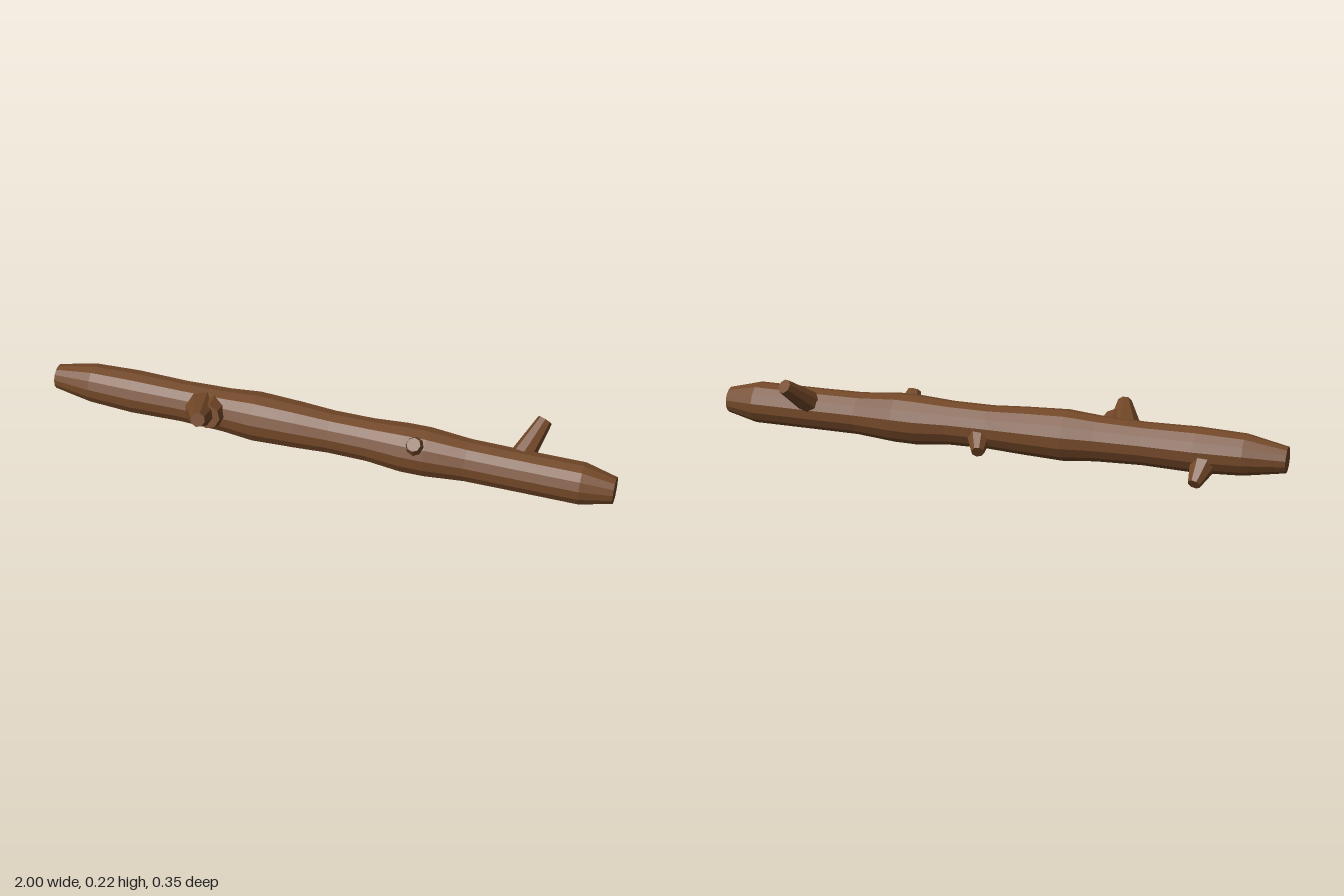
import * as THREE from 'three';

const bark = new THREE.MeshStandardMaterial({ color: 0x734828, flatShading: true });
const AXIS_Z = -0.018;

// Trunk stations: x, centre height, radius
const stations = [
  [-1, 0.106, 0.044], [-0.86, 0.107, 0.07], [-0.7, 0.104, 0.077], [-0.52, 0.103, 0.073],
  [-0.36, 0.101, 0.078], [-0.25, 0.099, 0.088], [-0.1, 0.097, 0.082], [0.02, 0.095, 0.075],
  [0.16, 0.093, 0.076], [0.28, 0.089, 0.086], [0.36, 0.089, 0.086], [0.5, 0.087, 0.074],
  [0.65, 0.085, 0.073], [0.89, 0.083, 0.073], [1, 0.08, 0.046],
];

// Lofts a fourteen-sided log through the stations, lying along x
function createTrunk() {
  const n = stations.length - 1;
  const geometry = new THREE.CylinderGeometry(1, 1, n, 14, n, false, Math.PI / 2);
  const p = geometry.attributes.position;
  for (let i = 0; i < p.count; i++) {
    const [x, cy, r] = stations[Math.round(p.getY(i) + n / 2)];
    p.setXYZ(i, x, cy - p.getX(i) * r, AXIS_Z + p.getZ(i) * r);
  }
  geometry.computeVertexNormals();
  const mesh = new THREE.Mesh(geometry, bark);
  mesh.name = 'trunk';
  return mesh;
}

// Tapered eight-sided stub between two points
function createStub(name, from, to, baseRadius, tipRadius) {
  const a = new THREE.Vector3(...from);
  const b = new THREE.Vector3(...to);
  const direction = b.clone().sub(a);
  const mesh = new THREE.Mesh(
    new THREE.CylinderGeometry(tipRadius, baseRadius, direction.length(), 8), bark);
  mesh.position.copy(a).add(b).multiplyScalar(0.5);
  mesh.quaternion.setFromUnitVectors(new THREE.Vector3(0, 1, 0), direction.normalize());
  mesh.name = name;
  return mesh;
}

export function createModel() {
  const group = new THREE.Group();
  group.name = 'log';
  group.add(createTrunk());

  // Broken branches: name, root, tip, root radius, tip radius
  const stubs = [
    ['rearUpperBranch', [0.67, 0.11, -0.046], [0.724, 0.208, -0.157], 0.043, 0.026],
    ['frontBranch', [-0.44, 0.115, 0.02], [-0.402, 0.174, 0.16], 0.065, 0.025],
    ['frontBranchCollar', [-0.405, 0.11, 0.0], [-0.395, 0.138, 0.088], 0.065, 0.042],
    ['rearEndStub', [-0.731, 0.077, -0.058], [-0.718, 0.027, -0.132], 0.048, 0.022],
    ['rearMiddleStub', [0.05, 0.077, -0.055], [0.03, 0.042, -0.127], 0.046, 0.022],
    ['frontSmallStub', [0.327, 0.115, 0.008], [0.327, 0.165, 0.056], 0.047, 0.024],
  ];
  for (const stub of stubs) group.add(createStub(...stub));
  return group;
}
